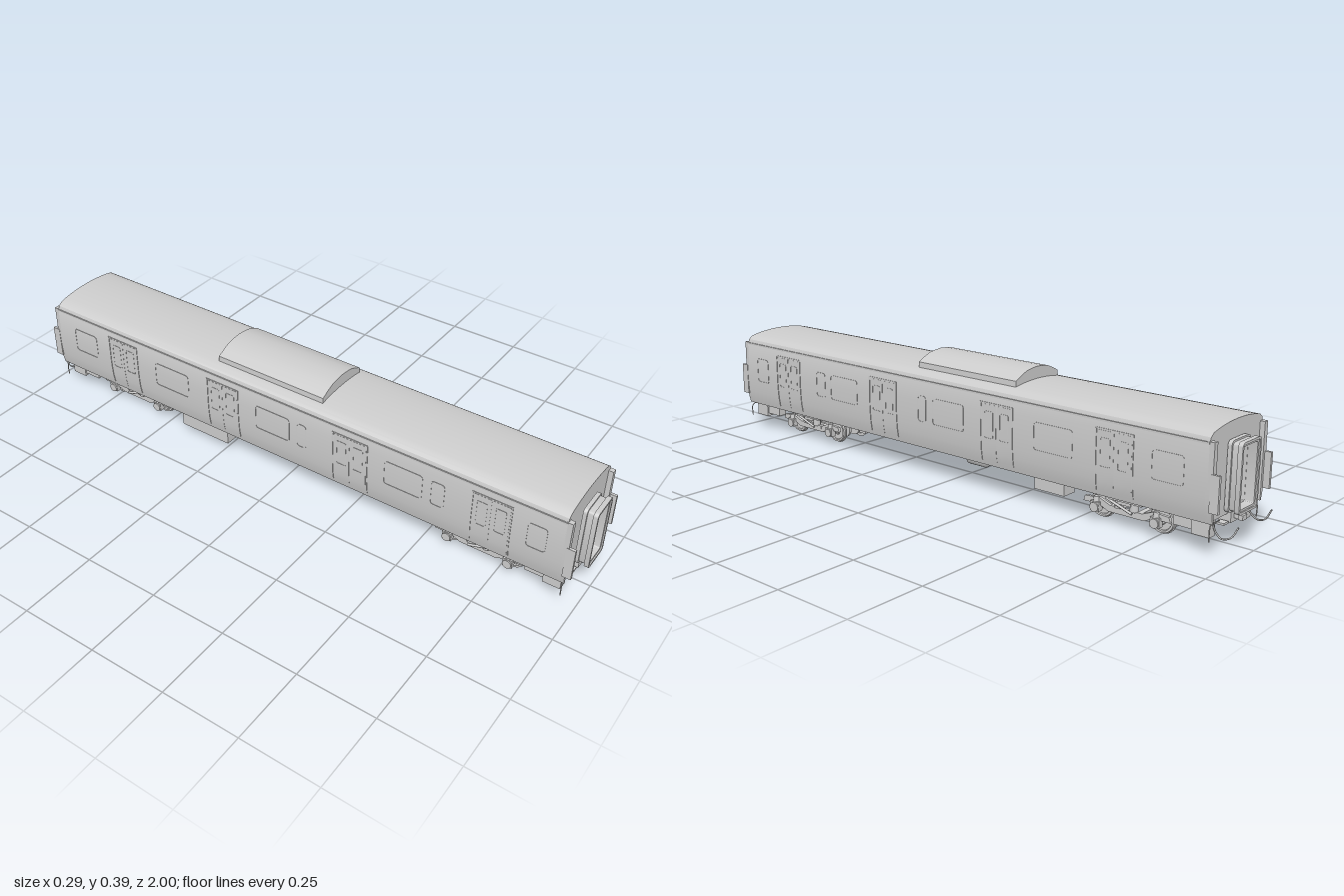
import * as THREE from 'three';
import { toCreasedNormals } from 'three/addons/utils/BufferGeometryUtils.js';

const mat = new THREE.MeshStandardMaterial({ color: 0xcccccc, side: THREE.DoubleSide });

function add(parent, name, geo, x = 0, y = 0, z = 0) {
  const m = new THREE.Mesh(geo, mat);
  m.name = name;
  m.position.set(x, y, z);
  parent.add(m);
  return m;
}
// Box given by its limits on each axis
function box(parent, name, x0, x1, y0, y1, z0, z1) {
  return add(parent, name, new THREE.BoxGeometry(Math.abs(x1 - x0), y1 - y0, z1 - z0),
    (x0 + x1) / 2, (y0 + y1) / 2, (z0 + z1) / 2);
}
// Cross-section in x, y drawn out along z
function prism(shape, z0, z1) {
  const g = new THREE.ExtrudeGeometry(shape, { depth: z1 - z0, bevelEnabled: false, curveSegments: 6 });
  return toCreasedNormals(g.translate(0, 0, z0), 0.5);
}
function polygon(points) {
  return new THREE.Shape(points.map(p => new THREE.Vector2(p[0], p[1])));
}
// Symmetric section from its +x half, listed from bottom to top
function mirrored(half) {
  return polygon([...half, ...half.filter(p => p[0] > 0).map(p => [-p[0], p[1]]).reverse()]);
}
function roundRect(w, h, r, Type = THREE.Shape) {
  const s = new Type(), a = w / 2, b = h / 2;
  s.moveTo(-a + r, -b);
  s.lineTo(a - r, -b); s.quadraticCurveTo(a, -b, a, -b + r);
  s.lineTo(a, b - r); s.quadraticCurveTo(a, b, a - r, b);
  s.lineTo(-a + r, b); s.quadraticCurveTo(-a, b, -a, b - r);
  s.lineTo(-a, -b + r); s.quadraticCurveTo(-a, -b, -a + r, -b);
  return s;
}
function ring(w, h, r, t, depth) {
  const s = roundRect(w, h, r);
  s.holes.push(roundRect(w - 2 * t, h - 2 * t, Math.max(r - t, 0.002), THREE.Path));
  return prism(s, 0, depth);
}
function tube(points, r) {
  const curve = new THREE.CatmullRomCurve3(points.map(p => new THREE.Vector3(...p)));
  return new THREE.TubeGeometry(curve, 20, r, 6);
}

// Side wall profile, leaning in at the bottom
const wall = [[0.13, 0.095], [0.135, 0.115], [0.139, 0.14], [0.141, 0.17], [0.142, 0.2], [0.141, 0.315]];
function wallX(y) {
  for (let i = 1; i < wall.length; i++) {
    const [a, b] = [wall[i - 1], wall[i]];
    if (y <= b[1]) return a[0] + (b[0] - a[0]) * (y - a[1]) / (b[1] - a[1]);
  }
  return 0.141;
}
// Thin panel following the wall
function wallPanel(parent, name, s, y0, y1, z0, z1, proud) {
  const ys = [y0, ...wall.map(p => p[1]).filter(y => y > y0 && y < y1), y1];
  const outer = ys.map(y => [s * (wallX(y) + proud), y]);
  const inner = ys.map(y => [s * (wallX(y) - 0.002), y]).reverse();
  add(parent, name, prism(polygon([...outer, ...inner]), z0, z1));
}

function buildSide(parent, s) {
  // Double-leaf doors with raised edges and leaf windows
  for (const zc of [0.73, 0.26, -0.22, -0.64]) {
    for (const e of [-1, 1]) {
      const a = zc + e * 0.061;
      wallPanel(parent, 'doorPost', s, 0.11, 0.292, a - 0.002, a + 0.002, 0.0018);
      const b = zc + e * 0.0295;
      wallPanel(parent, 'doorLeaf', s, 0.112, 0.288, b - 0.0285, b + 0.0285, 0.0006);
      const w = add(parent, 'doorWindow', ring(0.034, 0.085, 0.006, 0.002, 0.0015), s * 0.1415, 0.225, b);
      w.rotation.y = s * Math.PI / 2;
    }
    wallPanel(parent, 'doorHeader', s, 0.29, 0.294, zc - 0.063, zc + 0.063, 0.0016);
  }
  // Saloon windows as [centre, width]
  for (const [zc, w] of [[0.87, 0.06], [0.56, 0.045], [0.445, 0.13], [0.085, 0.035], [-0.025, 0.13], [-0.43, 0.14], [-0.81, 0.1]]) {
    const frame = add(parent, 'windowFrame', ring(w, 0.085, 0.012, 0.002, 0.0015), s * 0.1412, 0.225, zc);
    frame.rotation.y = s * Math.PI / 2;
  }
  // Gutter and corner pieces
  box(parent, 'gutter', s * 0.138, s * 0.143, 0.313, 0.319, -0.93, 0.95);
  for (const [z0, z1, p0, p1] of [[0.945, 0.965, 0.958, 0.985], [-0.945, -0.925, -0.965, -0.938]]) {
    const outline = [...wall.map(([x, y]) => [s * x, y]), [s * 0.141, 0.32], [s * 0.125, 0.32], [s * 0.125, 0.095]];
    add(parent, 'cornerPost', prism(polygon(outline), z0, z1));
    box(parent, 'cornerPlate', s * 0.134, s * 0.143, 0.13, 0.235, p0, p1);
  }
}

// End with gangway and coupler, built facing +z from the end wall
function buildEnd() {
  const g = new THREE.Group();
  g.name = 'endEquipment';
  add(g, 'gangwayBellows', ring(0.09, 0.19, 0.014, 0.008, 0.04), 0, 0.204, 0);
  add(g, 'gangwayBase', ring(0.1, 0.2, 0.016, 0.014, 0.012), 0, 0.204, 0);
  add(g, 'gangwayFace', ring(0.102, 0.2, 0.016, 0.007, 0.014), 0, 0.204, 0.03);
  add(g, 'gangwayDoor', ring(0.06, 0.165, 0.006, 0.006, 0.004), 0, 0.2, 0);
  box(g, 'couplerMount', -0.025, 0.025, 0.07, 0.1, -0.03, 0.008);
  box(g, 'couplerShank', -0.008, 0.008, 0.08, 0.092, 0, 0.03);
  box(g, 'couplerHead', -0.012, 0.012, 0.079, 0.093, 0.022, 0.036);
  for (const s of [-1, 1]) {
    box(g, 'endBox', s * 0.083, s * 0.11, 0.048, 0.097, -0.06, -0.005);
    box(g, 'endCasing', s * 0.075, s * 0.105, 0.058, 0.097, -0.12, -0.06);
    add(g, 'stepIron', tube([[s * 0.07, 0.088, 0], [s * 0.12, 0.088, 0.002], [s * 0.128, 0.08, 0.004], [s * 0.128, 0.045, 0.004]], 0.0018));
    box(g, 'endBracket', s * 0.03, s * 0.055, 0.07, 0.076, -0.02, 0.005);
  }
  return g;
}

function buildBogie() {
  const g = new THREE.Group();
  g.name = 'bogie';
  const wheel = new THREE.LatheGeometry([[0.008, -0.005], [0.012, -0.005], [0.014, -0.002], [0.03, -0.002], [0.032, -0.006],
    [0.042, -0.006], [0.042, -0.003], [0.039, -0.001], [0.038, 0.006], [0.032, 0.006], [0.03, 0.002], [0.014, 0.002],
    [0.012, 0.007], [0, 0.007]].map(p => new THREE.Vector2(...p)), 28).rotateZ(-Math.PI / 2);
  const wheelGeo = toCreasedNormals(wheel, 0.5);
  const rod = (r, len) => new THREE.CylinderGeometry(r, r, len, 20).rotateZ(Math.PI / 2);
  // Side frame outline in z, y: low centre and raised ends
  const frame = polygon([[-0.145, 0.05], [-0.09, 0.05], [-0.06, 0.036], [0.06, 0.036], [0.09, 0.05], [0.145, 0.05],
    [0.14, 0.066], [0.09, 0.07], [0.055, 0.056], [-0.055, 0.056], [-0.09, 0.07], [-0.14, 0.066]]);
  for (const zc of [-0.1, 0.1]) {
    add(g, 'axle', rod(0.007, 0.19), 0, 0.042, zc);
    for (const s of [-1, 1]) {
      const w = add(g, 'wheel', wheelGeo, s * 0.055, 0.042, zc);
      if (s < 0) w.rotation.y = Math.PI;
      add(g, 'brakeDisc', rod(0.03, 0.008), s * 0.022, 0.042, zc);
      add(g, 'axleBox', rod(0.014, 0.024), s * 0.09, 0.042, zc);
      box(g, 'axleBoxHousing', s * 0.08, s * 0.098, 0.03, 0.058, zc - 0.015, zc + 0.015);
      add(g, 'primarySpring', new THREE.CylinderGeometry(0.008, 0.01, 0.016, 12), s * 0.088, 0.065, zc);
    }
    box(g, 'crossBeam', -0.09, 0.09, 0.044, 0.056, zc * 0.45 - 0.008, zc * 0.45 + 0.008);
  }
  for (const s of [-1, 1]) {
    const f = add(g, 'sideFrame', prism(frame, -0.005, 0.005), s * 0.084, 0, 0);
    f.rotation.y = Math.PI / 2;
    for (const z of [-0.025, 0.025]) {
      add(g, 'secondarySpring', new THREE.CylinderGeometry(0.013, 0.013, 0.028, 14), s * 0.084, 0.068, z);
    }
    box(g, 'springPlate', s * 0.068, s * 0.104, 0.08, 0.087, -0.06, 0.06);
    const damper = add(g, 'damper', new THREE.CylinderGeometry(0.004, 0.004, 0.09, 10), s * 0.101, 0.066, 0.015);
    damper.rotation.x = 1.25;
  }
  box(g, 'bolster', -0.1, 0.1, 0.07, 0.084, -0.022, 0.022);
  add(g, 'pivot', new THREE.CylinderGeometry(0.025, 0.025, 0.03, 16), 0, 0.09, 0);
  return g;
}

export function createModel() {
  const coach = new THREE.Group();
  coach.name = 'railCoach';

  // Body shell with curved roof
  const shell = [...wall, [0.135, 0.33], [0.122, 0.34], [0.1, 0.345], [0.075, 0.349], [0.05, 0.3515], [0.025, 0.353], [0, 0.3535]];
  add(coach, 'body', prism(mirrored(shell), -0.93, 0.95));
  // Roof pod
  const pod = [[0.102, 0.335], [0.1, 0.362], [0.075, 0.375], [0.05, 0.385], [0.025, 0.389], [0, 0.391]];
  add(coach, 'roofPod', prism(mirrored(pod), -0.26, 0.135));

  for (const s of [-1, 1]) buildSide(coach, s);

  const front = buildEnd();
  front.position.z = 0.955;
  const back = buildEnd();
  back.position.z = -0.932;
  back.rotation.y = Math.PI;
  coach.add(front, back);

  // Hanging jumper cables at the back
  for (const s of [-1, 1]) {
    add(coach, 'jumperCable', tube([[s * 0.095, 0.092, -0.925], [s * 0.095, 0.065, -0.935], [s * 0.097, 0.05, -0.955],
      [s * 0.093, 0.058, -0.98], [s * 0.091, 0.09, -0.999]], 0.0025));
  }

  for (const z of [0.68, -0.65]) {
    const b = buildBogie();
    b.position.z = z;
    coach.add(b);
  }

  // Underfloor equipment
  box(coach, 'equipmentCase', -0.108, -0.058, 0.03, 0.098, -0.425, -0.235);
  box(coach, 'equipmentBox', 0.045, 0.095, 0.046, 0.098, -0.44, -0.33);
  box(coach, 'smallBox', -0.015, 0.015, 0.055, 0.098, -0.4, -0.37);
  box(coach, 'junctionBox', -0.075, -0.035, 0.05, 0.098, -0.17, -0.14);
  box(coach, 'smallBox', 0.005, 0.04, 0.05, 0.098, 0.455, 0.485);
  const tankProfile = [[0, -0.045], [0.014, -0.043], [0.022, -0.034], [0.022, 0.034], [0.014, 0.043], [0, 0.045]];
  add(coach, 'airTank', new THREE.LatheGeometry(tankProfile.map(p => new THREE.Vector2(...p)), 18).rotateX(Math.PI / 2), 0.035, 0.068, -0.06);
  for (const z of [-0.082, -0.038]) box(coach, 'tankStrap', 0.012, 0.058, 0.07, 0.098, z - 0.003, z + 0.003);

  return coach;
}
